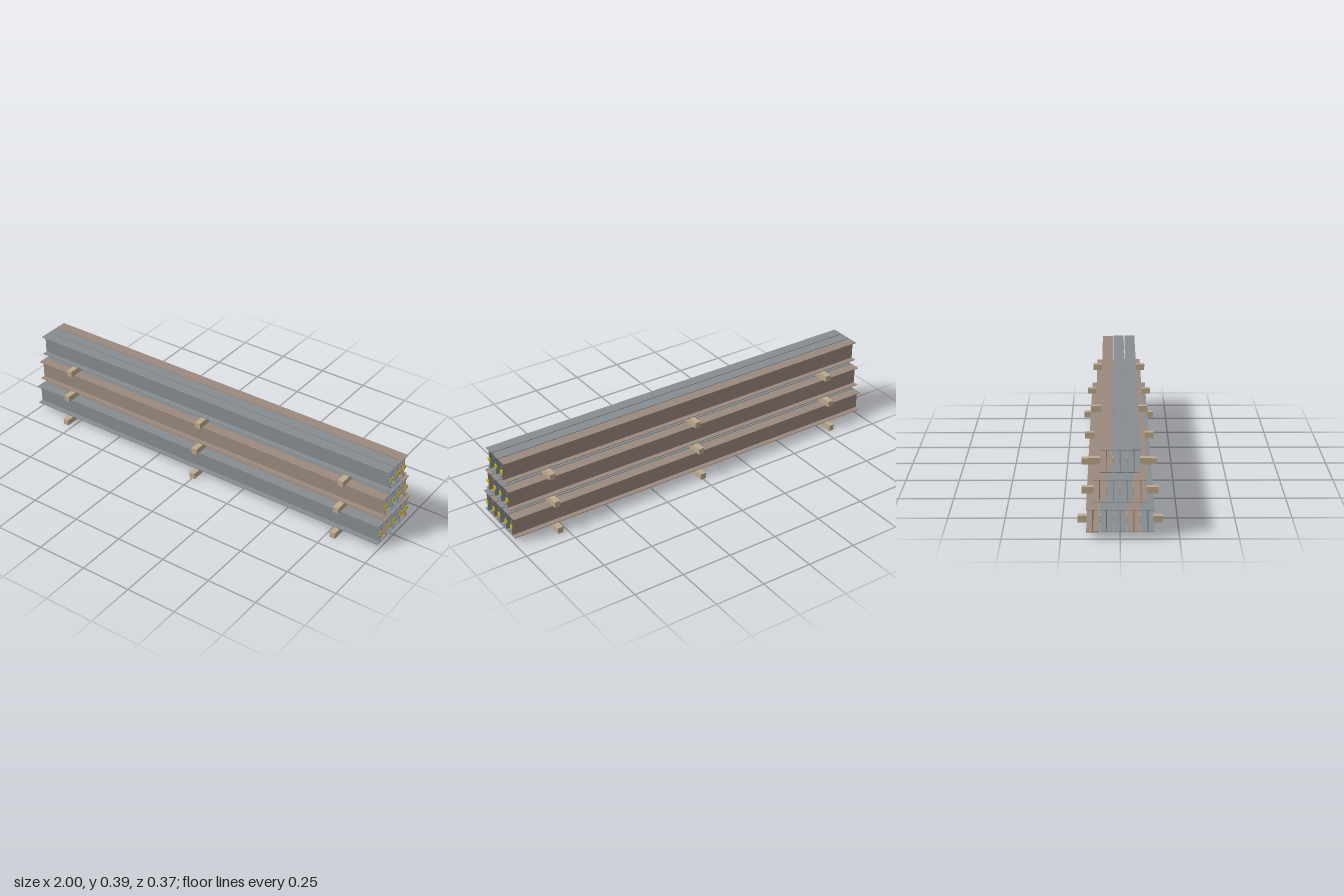
import * as THREE from 'three';

const mat = (name, color) => {
  const m = new THREE.MeshStandardMaterial({ color });
  m.name = name;
  return m;
};

export function createModel() {
  const grey = mat('greySteel', 0x868c90);
  const brown = mat('primedSteel', 0x9a897d);
  const wood = mat('timber', 0xbdaa8d);
  const yellow = mat('tagYellow', 0xcbbb10);

  const xMin = -1, xMax = 0.997, xMid = (xMin + xMax) / 2;
  const H = 0.1, W = 0.054, FLANGE = 0.003, WEB = 0.003;

  // I-section, extruded along the length of the beam
  const half = [
    [W / 2, 0], [W / 2, FLANGE], [WEB / 2, FLANGE],
    [WEB / 2, H - FLANGE], [W / 2, H - FLANGE], [W / 2, H],
  ];
  const outline = [...half, ...half.map(([x, y]) => [-x, y]).reverse()];
  const beamGeo = new THREE.ExtrudeGeometry(
    new THREE.Shape(outline.map(([x, y]) => new THREE.Vector2(x, y))),
    { depth: xMax - xMin, bevelEnabled: false },
  );
  beamGeo.rotateY(Math.PI / 2).translate(xMin, 0, 0);

  const tagGeo = new THREE.BoxGeometry(0.004, 0.017, 0.02);

  // Each tier: timber base, beam base, timber length, beams front to back, tag offsets
  const tiers = [
    { timberY: 0, beamY: 0.031, span: 0.366,
      steel: [grey, brown, grey, grey, brown], shift: [0, -0.006, 0, -0.006, 0] },
    { timberY: 0.1315, beamY: 0.1625, span: 0.33,
      steel: [brown, grey, grey, brown], shift: [0, -0.006, 0, -0.006] },
    { timberY: 0.263, beamY: 0.294, span: 0.27,
      steel: [grey, grey, brown], shift: [0, -0.006, 0] },
  ];

  const model = new THREE.Group();
  model.name = 'beamStack';
  tiers.forEach(({ timberY, beamY, span, steel, shift }, t) => {
    const tier = new THREE.Group();
    tier.name = `tier${t + 1}`;
    const add = (geo, material, name, x, y, z) => {
      const mesh = new THREE.Mesh(geo, material);
      mesh.name = name;
      mesh.position.set(x, y, z);
      tier.add(mesh);
    };

    // Timber bearers
    const timberGeo = new THREE.BoxGeometry(0.028, 0.0295, span);
    for (const x of [-0.787, 0, 0.787]) {
      add(timberGeo, wood, 'timberBearer', xMid + x, timberY + 0.01475, 0);
    }

    // Beams with a tag on one end
    steel.forEach((material, i) => {
      const z = ((steel.length - 1) / 2 - i) * 0.058;
      add(beamGeo, material, 'steelBeam', 0, beamY, z);
      add(tagGeo, yellow, 'endTag', 0.998, beamY + 0.05, z + shift[i]);
    });
    model.add(tier);
  });
  return model;
}
